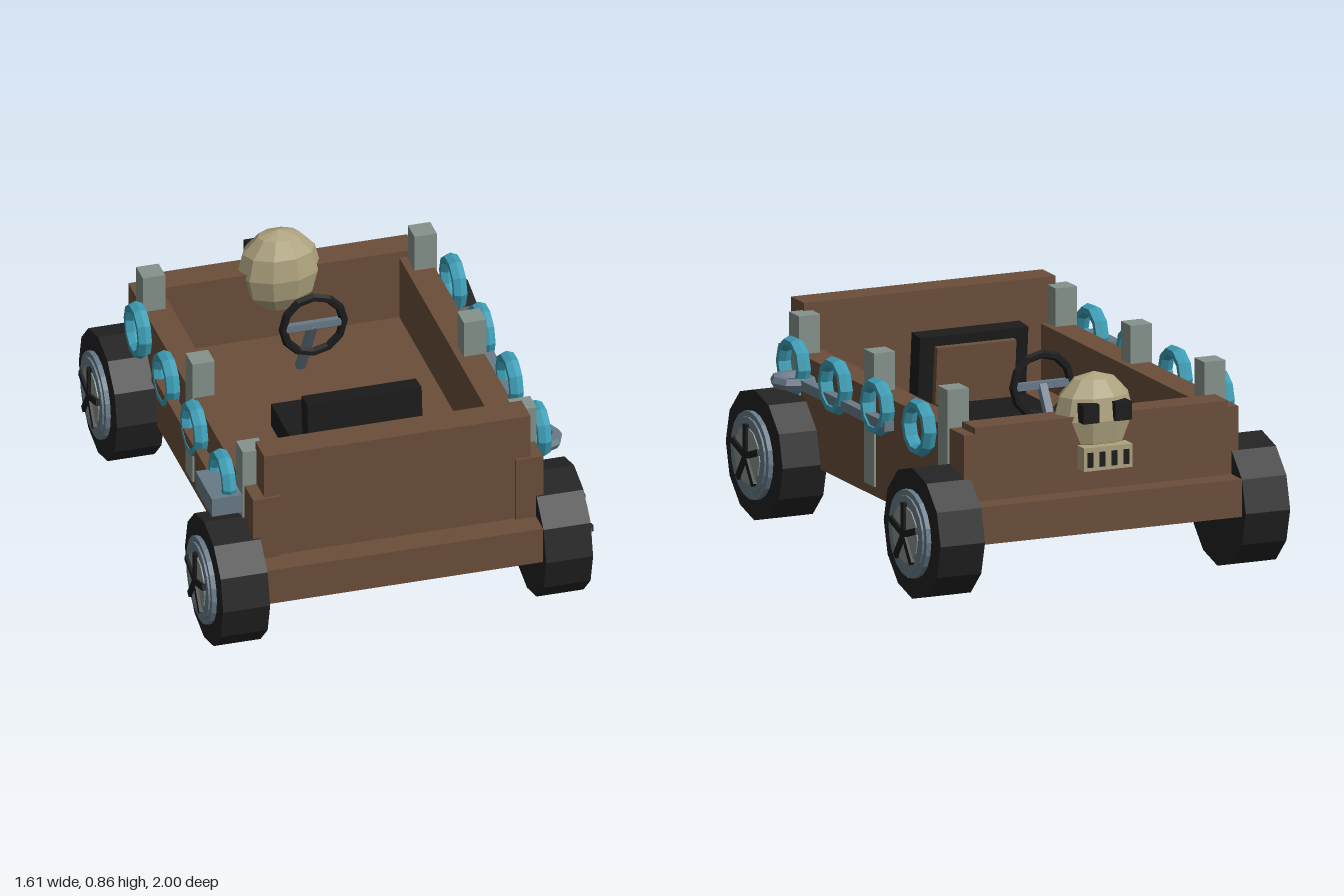
import * as THREE from 'three';

const mat = (name, color) => {
  const m = new THREE.MeshStandardMaterial({ color });
  m.name = name;
  m.flatShading = true;
  return m;
};

export function createModel() {
  const wood = mat('wood brown', 0x6b4e3a);
  const rubber = mat('tyre black', 0x222222);
  const black = mat('dark black', 0x1b1b1b);
  const steel = mat('steel blue grey', 0x687a88);
  const pale = mat('pale grey green', 0x85928c);
  const cyan = mat('ring cyan', 0x3c9db5);
  const bone = mat('bone', 0xada27e);

  const car = new THREE.Group();
  car.name = 'woodenBuggy';

  const add = (name, geo, material, parent = car) => {
    const m = new THREE.Mesh(geo, material);
    m.name = name;
    parent.add(m);
    return m;
  };
  // box given by its min and max corners
  const box = (name, material, x0, x1, y0, y1, z0, z1, parent = car) => {
    const m = add(name, new THREE.BoxGeometry(x1 - x0, y1 - y0, z1 - z0), material, parent);
    m.position.set((x0 + x1) / 2, (y0 + y1) / 2, (z0 + z1) / 2);
    return m;
  };

  // Body: base slab, side walls, tall and low end boards
  box('base', wood, -0.595, 0.595, 0.247, 0.4, -0.963, 0.958);
  for (const s of [-1, 1]) {
    const wall = box('sideWall', wood, 0.483, 0.596, 0.4, 0.673, -0.868, 0.862);
    wall.position.x *= s;
  }
  box('tallEndBoard', wood, -0.547, 0.547, 0.4, 0.86, 0.727, 0.85);
  box('lowEndBoard', wood, -0.55, 0.55, 0.4, 0.7, -0.87, -0.75);

  // Floor planks beside the tall board
  for (let i = -2; i <= 2; i++) {
    const x = i * 0.197;
    box('floorPlank', wood, x - 0.083, x + 0.083, 0.4, 0.42, 0.4, 0.73);
  }

  // Wheel pointing along +x
  const makeWheel = () => {
    const w = new THREE.Group();
    w.name = 'wheel';
    const disc = (name, r, x0, x1, seg, material) => {
      const g = new THREE.CylinderGeometry(r, r, x1 - x0, seg);
      g.rotateZ(-Math.PI / 2);
      add(name, g, material, w).position.x = (x0 + x1) / 2;
    };
    disc('tyre', 0.265, 0.567, 0.76, 12, rubber);
    disc('rim', 0.178, 0.76, 0.78, 20, steel);
    disc('innerRim', 0.155, 0.78, 0.788, 20, steel);
    disc('hub', 0.117, 0.788, 0.793, 12, pale);
    for (let i = 0; i < 5; i++) {
      const g = new THREE.BoxGeometry(0.016, 0.128, 0.026);
      g.translate(0.796, 0.064, 0);
      g.rotateX((i * Math.PI * 2) / 5);
      add('spoke', g, black, w);
    }
    return w;
  };
  for (const s of [-1, 1]) for (const z of [-0.735, 0.735]) {
    const w = makeWheel();
    w.position.set(0, 0.265, z);
    // half turn about y, so the hub faces outward on the other side
    if (s < 0) w.rotation.y = Math.PI;
    car.add(w);
  }

  // Posts and decorative rings along both sides
  for (const s of [-1, 1]) {
    for (const z of [0.698, 0, -0.685]) {
      const p = box('post', pale, 0.512, 0.604, 0.288, 0.828, z - 0.046, z + 0.046);
      p.position.x *= s;
    }
    for (let i = 0; i < 4; i++) {
      const ring = add('sideRing', new THREE.TorusGeometry(0.095, 0.023, 6, 10), cyan);
      ring.scale.z = 1.35;
      ring.rotation.y = Math.PI / 2;
      ring.position.set(s * 0.648, 0.645, 0.61 - i * 0.39);
    }
  }

  // Wrench on the left side
  box('wrenchShaft', steel, 0.627, 0.668, 0.568, 0.608, -0.28, 0.5);
  const eye = add('wrenchRing', new THREE.TorusGeometry(0.075, 0.026, 6, 8), steel);
  eye.rotation.x = Math.PI / 2;
  eye.position.set(0.655, 0.588, 0.585);

  // Hammer on the right side
  box('hammerShaft', wood, -0.673, -0.63, 0.568, 0.608, -0.29, 0.52);
  box('hammerHead', steel, -0.728, -0.6, 0.548, 0.628, 0.51, 0.735);

  // Seat
  box('seatCushion', black, -0.237, 0.237, 0.4, 0.5, -0.1, 0.36);
  const back = new THREE.Group();
  back.name = 'seatBack';
  back.position.set(0, 0.4, 0.386);
  back.rotation.x = -0.088;
  car.add(back);
  box('backFrame', black, -0.235, 0.235, 0, 0.38, -0.04, 0.042, back);
  box('backPanel', wood, -0.172, 0.172, 0.1, 0.34, -0.068, -0.04, back);

  // Steering wheel and column
  const steer = add('steeringWheel', new THREE.TorusGeometry(0.125, 0.018, 6, 12), black);
  steer.position.set(0, 0.7, -0.315);
  box('steeringBar', steel, -0.115, 0.115, 0.685, 0.715, -0.327, -0.303);
  const from = new THREE.Vector3(0, 0.7, -0.315);
  const to = new THREE.Vector3(0, 0.38, -0.51);
  const column = add('steeringColumn', new THREE.BoxGeometry(0.032, 0.032, from.distanceTo(to)), steel);
  column.position.copy(from).lerp(to, 0.5);
  column.lookAt(to);

  // Skull mounted on the low end board
  const skull = new THREE.Group();
  skull.name = 'skull';
  car.add(skull);
  const cranium = add('cranium', new THREE.SphereGeometry(1, 10, 6), bone, skull);
  cranium.scale.set(0.172, 0.182, 0.115);
  cranium.position.set(0, 0.678, -0.797);
  box('jaw', bone, -0.105, 0.105, 0.49, 0.585, -0.934, -0.86, skull);
  for (const s of [-1, 1]) {
    const socket = box('eyeSocket', black, 0.035, 0.105, 0.68, 0.755, -0.927, -0.87, skull);
    socket.position.x *= s;
  }
  for (let i = 0; i < 4; i++) {
    const x = (i - 1.5) * 0.052;
    box('toothGap', black, x - 0.012, x + 0.012, 0.505, 0.565, -0.938, -0.93, skull);
  }
  return car;
}
